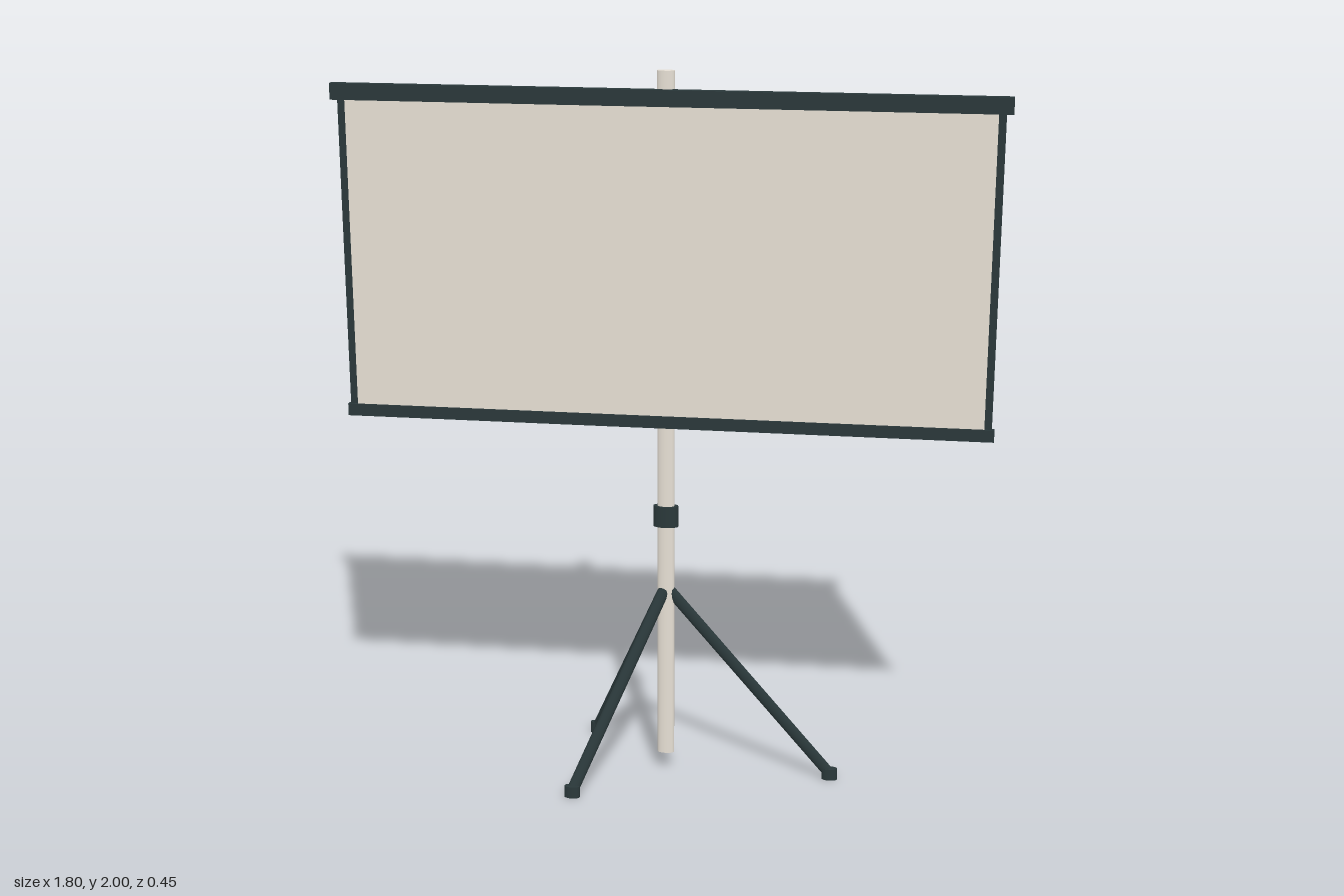
import * as THREE from 'three';

export function createModel() {
  const model = new THREE.Group();
  model.name = 'projectionScreen';
  const dark = new THREE.MeshStandardMaterial({ color: 0x2a383a });
  dark.name = 'dark slate';
  const light = new THREE.MeshStandardMaterial({ color: 0xe6dfd4 });
  light.name = 'warm white';

  const add = (parent, name, geometry, material, x, y, z) => {
    const mesh = new THREE.Mesh(geometry, material);
    mesh.name = name;
    mesh.position.set(x, y, z);
    parent.add(mesh);
    return mesh;
  };
  const box = (name, w, h, d, material, x, y, z) =>
    add(model, name, new THREE.BoxGeometry(w, h, d), material, x, y, z);

  // Screen: dark backing that shows as a border, canvas face and the two rails
  box('backing', 1.76, 0.86, 0.006, dark, 0, 1.488, 0.0155);
  box('canvas', 1.72, 0.86, 0.002, light, 0, 1.488, 0.0192);
  box('topRail', 1.796, 0.044, 0.021, dark, 0, 1.93, 0.0165);
  box('bottomRail', 1.774, 0.034, 0.015, dark, 0, 1.049, 0.0165);

  // Stand: round parts, flattened front to back
  const stand = new THREE.Group();
  stand.name = 'stand';
  stand.scale.z = 0.52;
  model.add(stand);
  const round = (name, radius, bottom, top, material, x = 0, z = 0) =>
    add(stand, name, new THREE.CylinderGeometry(radius, radius, top - bottom, 16), material, x, (top + bottom) / 2, z);

  round('pole', 0.024, 0.055, 2, light);
  round('lowerCollar', 0.035, 0.742, 0.802, dark);
  round('upperCollar', 0.035, 1.255, 1.314, dark);

  // Three legs, a third of a turn apart, each with a foot
  const up = new THREE.Vector3(0, 1, 0);
  for (let i = 0; i < 3; i++) {
    const angle = (i * Math.PI * 2) / 3;
    const c = Math.cos(angle), s = Math.sin(angle);
    const start = new THREE.Vector3(0.012 * c, 0.55, 0.012 * s);
    const end = new THREE.Vector3(0.468 * c, 0.02, 0.468 * s);
    const along = end.clone().sub(start);
    const mid = start.clone().add(end).multiplyScalar(0.5);
    const leg = add(stand, 'leg', new THREE.CylinderGeometry(0.0165, 0.0165, along.length(), 12), dark, mid.x, mid.y, mid.z);
    leg.quaternion.setFromUnitVectors(up, along.normalize().negate());
    round('foot', 0.022, 0, 0.034, dark, 0.47 * c, 0.47 * s);
  }
  return model;
}
